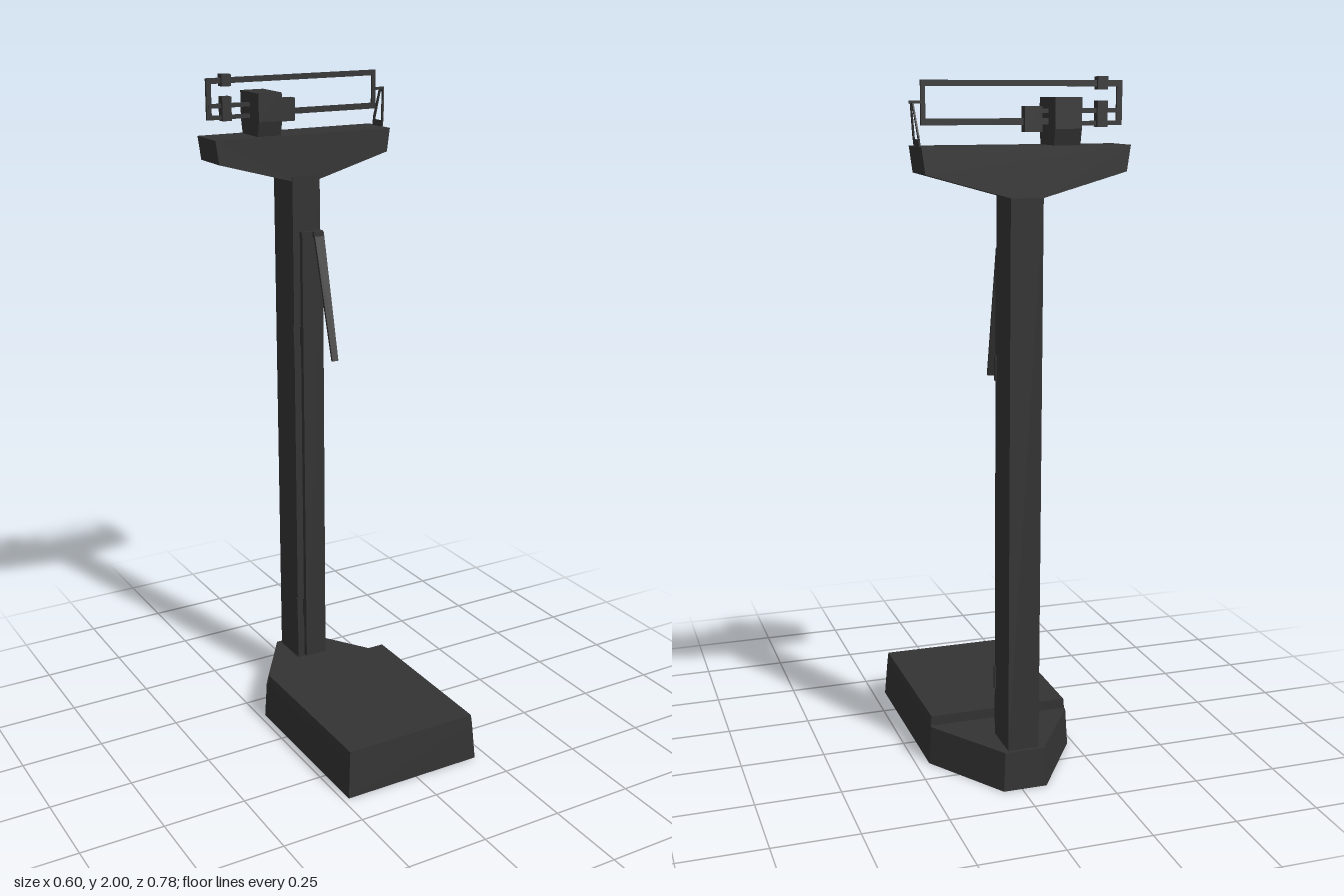
import * as THREE from 'three';

export function createModel() {
  const model = new THREE.Group();
  const mat = new THREE.MeshStandardMaterial({ color: 0x333333, flatShading: true, side: THREE.DoubleSide });
  const CX = -0.01;      // column centre line
  const BEAM_Z = -0.318; // plane of the weighing beam

  const add = (name, geo) => {
    const mesh = new THREE.Mesh(geo, mat);
    mesh.name = name;
    model.add(mesh);
    return mesh;
  };
  // Box given by its minimum and maximum on each axis
  const box = (name, x0, x1, y0, y1, z0, z1) => {
    const mesh = add(name, new THREE.BoxGeometry(x1 - x0, y1 - y0, z1 - z0));
    mesh.position.set((x0 + x1) / 2, (y0 + y1) / 2, (z0 + z1) / 2);
    return mesh;
  };
  // Extruded outline in the xy plane, from z0 to z1
  const prism = (name, pts, z0, z1, hole) => {
    const shape = new THREE.Shape(pts.map(p => new THREE.Vector2(...p)));
    if (hole) shape.holes.push(new THREE.Path(hole.map(p => new THREE.Vector2(...p))));
    const geo = new THREE.ExtrudeGeometry(shape, { depth: z1 - z0, bevelEnabled: false });
    return add(name, geo.translate(0, 0, z0));
  };
  // Shell through horizontal outlines [[x, z], ...] at given heights, capped on top only
  const shell = (name, rings) => {
    const pos = [], v = (r, i) => {
      const p = r.pts[i % r.pts.length];
      pos.push(p[0], r.y, p[1]);
    };
    for (let k = 0; k + 1 < rings.length; k++) {
      const a = rings[k], b = rings[k + 1];
      for (let i = 0; i < a.pts.length; i++) {
        v(a, i); v(a, i + 1); v(b, i + 1);
        v(a, i); v(b, i + 1); v(b, i);
      }
    }
    const top = rings[rings.length - 1];
    for (let i = 1; i + 1 < top.pts.length; i++) { v(top, 0); v(top, i); v(top, i + 1); }
    const geo = new THREE.BufferGeometry();
    geo.setAttribute('position', new THREE.Float32BufferAttribute(pos, 3));
    geo.computeVertexNormals();
    return add(name, geo);
  };

  // Hollow base, open underneath, narrowing behind the platform
  const baseOutline = d => [
    [CX - 0.221 + d, 0.39 - d], [CX + 0.221 - d, 0.39 - d],
    [CX + 0.221 - d, -0.153], [CX + 0.065 - d * 0.8, -0.392 + d],
    [CX - 0.065 + d * 0.8, -0.392 + d], [CX - 0.221 + d, -0.153],
  ];
  shell('base', [{ y: 0, pts: baseOutline(0) }, { y: 0.115, pts: baseOutline(0.008) }]);

  // Platform plate
  const plate = d => [
    [CX - 0.213 + d, 0.382 - d], [CX + 0.213 - d, 0.382 - d],
    [CX + 0.213 - d, -0.143], [CX - 0.213 + d, -0.143],
  ];
  shell('platform', [{ y: 0.115, pts: plate(0) }, { y: 0.145, pts: plate(0.003) }]);

  // Column and flared head
  box('column', CX - 0.046, CX + 0.046, 0.11, 1.7, -0.372, -0.252);
  prism('head', [
    [CX - 0.046, 1.687], [CX + 0.046, 1.687], [CX + 0.28, 1.752],
    [CX + 0.29, 1.822], [CX - 0.29, 1.822], [CX - 0.28, 1.752],
  ], -0.378, -0.253);

  // Height rod held by two clips
  box('heightRod', CX - 0.035, CX + 0.035, 0.135, 1.54, -0.23, -0.214);
  for (const y of [0.295, 1.212]) {
    box('rodClip', CX - 0.027, CX + 0.027, y - 0.03, y + 0.03, -0.254, -0.229);
    for (const s of [-1, 1]) {
      const x = CX + s * 0.047;
      box('clipEar', x - 0.003, x + 0.003, y - 0.035, y + 0.035, -0.258, -0.248);
    }
  }

  // Folded measuring arm, tapering towards its lower end
  box('armHinge', -0.01, 0.018, 1.522, 1.54, -0.215, -0.196);
  const arm = prism('measuringArm', [[-0.016, 0], [-0.01, -0.387], [0.01, -0.387], [0.016, 0]], -0.004, 0.004);
  arm.position.set(0.004, 1.538, -0.203);
  arm.rotation.x = -0.255;

  // Beam frame
  const bz = t => [BEAM_Z - t, BEAM_Z + t];
  box('upperBeam', -0.296, 0.265, 1.974, 1.99, ...bz(0.004));
  box('lowerBeam', -0.16, 0.265, 1.875, 1.892, ...bz(0.004));
  box('leftBeamPost', -0.296, -0.281, 1.872, 1.99, ...bz(0.004));
  box('rightBeamPost', 0.253, 0.265, 1.875, 1.99, ...bz(0.004));
  box('lowerBeamEnd', -0.296, -0.16, 1.872, 1.884, ...bz(0.004));
  box('counterRod', -0.29, -0.03, 1.905, 1.917, ...bz(0.005));

  // Sliding and balancing weights
  box('upperPoise', -0.251, -0.222, 1.966, 2, ...bz(0.013));
  box('lowerPoise', -0.251, -0.222, 1.868, 1.937, ...bz(0.013));
  box('balanceWeight', -0.065, -0.016, 1.856, 1.923, ...bz(0.013));

  // Pivot housing: full block above, tapering foot below
  box('pivotHousing', -0.16, -0.085, 1.865, 1.946, -0.375, -0.255);
  const foot = prism('housingFoot', [
    [-0.05, 1.82], [0.05, 1.82], [0.06, 1.866], [-0.06, 1.866],
  ], -0.0375, 0.0375);
  foot.rotation.y = Math.PI / 2;
  foot.position.set(-0.1225, 0, -0.315);

  // Pointer guide loop at the end of the head, and the pointer tip
  const guide = prism('pointerGuide', [
    [-0.028, 0], [0.028, 0], [0.028, 0.035], [0.012, 0.118], [-0.012, 0.118], [-0.028, 0.035],
  ], -0.002, 0.002, [
    [-0.02, 0.025], [-0.006, 0.11], [0.006, 0.11], [0.02, 0.025],
  ]);
  guide.rotation.order = 'ZYX';
  guide.rotation.set(0, Math.PI / 2, -0.12);
  guide.position.set(0.274, 1.815, BEAM_Z);
  box('pointerTip', 0.265, 0.296, 1.93, 1.938, ...bz(0.003));

  return model;
}
